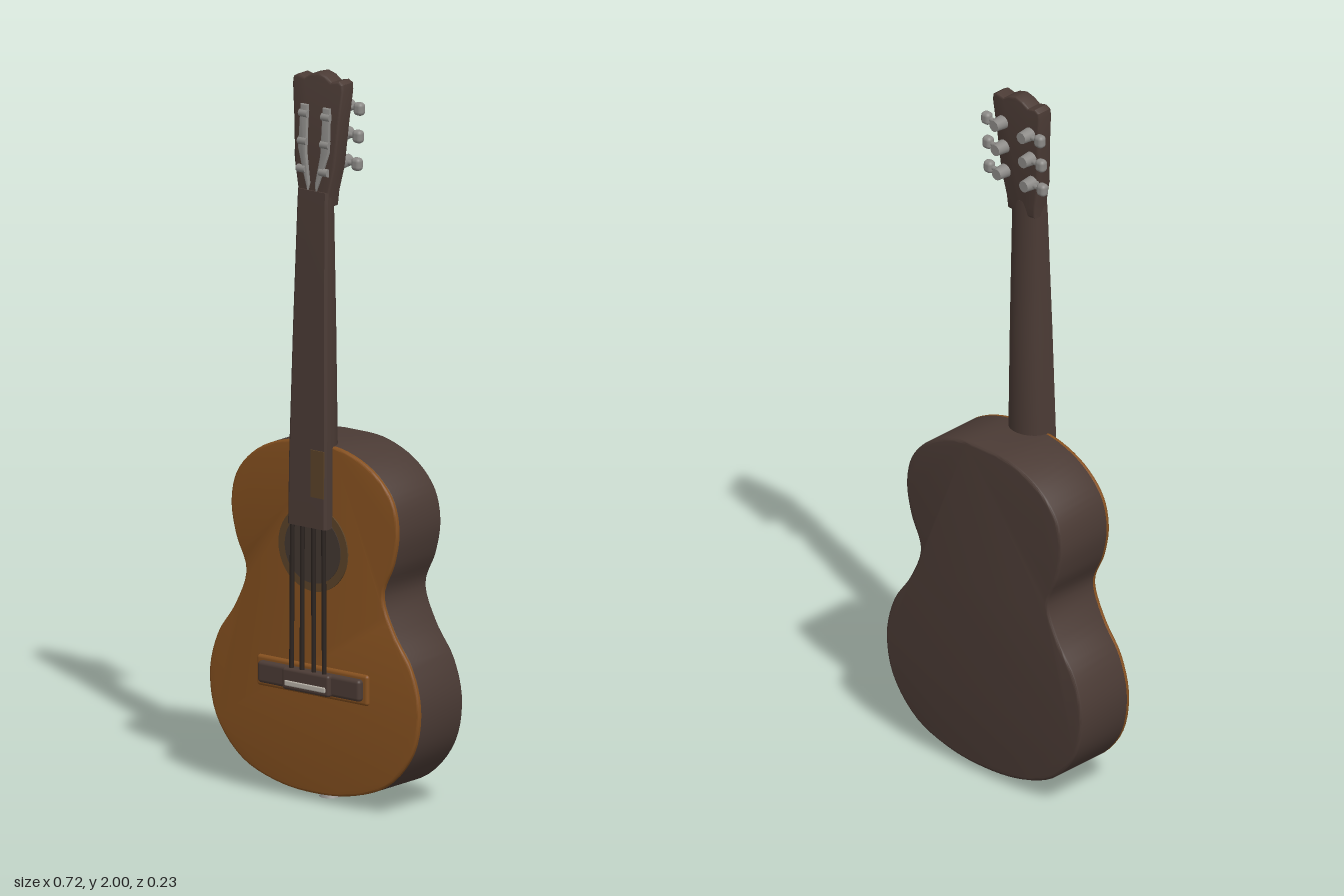
import * as THREE from 'three';
import { toCreasedNormals } from 'three/addons/utils/BufferGeometryUtils.js';
import { RoundedBoxGeometry } from 'three/addons/geometries/RoundedBoxGeometry.js';

const mat = (name, color) => {
  const m = new THREE.MeshStandardMaterial({ color });
  m.name = name;
  return m;
};

export function createModel() {
  const guitar = new THREE.Group();
  guitar.name = 'acousticGuitar';
  const darkWood = mat('dark wood', 0x4b3b35);
  const spruce = mat('amber top wood', 0x85501f);
  const rosette = mat('rosette brown', 0x5b4328);
  const hole = mat('sound hole', 0x433731);
  const stringDark = mat('string', 0x2c2420);
  const metal = mat('metal', 0x8c8a87);
  const ivory = mat('saddle ivory', 0xb8b2a8);

  const add = (name, geo, material, x = 0, y = 0, z = 0, parent = guitar) => {
    const m = new THREE.Mesh(geo, material);
    m.name = name;
    m.position.set(x, y, z);
    parent.add(m);
    return m;
  };
  const smooth = (geo, angle = 0.7) => toCreasedNormals(geo, angle);
  const mirrored = (half) => [...half, ...half.slice(1, -1).reverse().map(([x, y]) => [-x, y])]
    .map(([x, y]) => new THREE.Vector2(x, y));

  // Slab with rounded rims, spanning z0 to z1 without growing the outline
  const slab = (shape, z0, z1, bevel) => {
    const g = new THREE.ExtrudeGeometry(shape, {
      depth: z1 - z0 - 2 * bevel, bevelEnabled: bevel > 0, bevelThickness: bevel,
      bevelSize: bevel, bevelOffset: -bevel, bevelSegments: 3, curveSegments: 8,
    });
    return g.translate(0, 0, z0 + bevel);
  };

  // Body: waisted outline, dark back and sides with an amber top
  const outline = mirrored([
    [0, 0.985], [0.1, 0.978], [0.2, 0.935], [0.265, 0.865], [0.284, 0.78], [0.268, 0.69],
    [0.233, 0.6], [0.27, 0.5], [0.33, 0.41], [0.358, 0.3], [0.335, 0.18], [0.25, 0.08],
    [0.13, 0.033], [0, 0.02],
  ]).map((p) => new THREE.Vector3(p.x, p.y, 0));
  const curve = new THREE.CatmullRomCurve3(outline, true, 'centripetal');
  const bodyShape = new THREE.Shape(curve.getPoints(120).slice(0, -1).map((p) => new THREE.Vector2(p.x, p.y)));
  add('body', smooth(slab(bodyShape, -0.115, 0.07, 0.008)), darkWood);
  add('soundboard', smooth(slab(bodyShape, 0.058, 0.075, 0.006)), spruce);

  // Sound hole and rosette
  const disc = (r, h) => new THREE.CylinderGeometry(r, r, h, 40).rotateX(Math.PI / 2);
  add('rosette', disc(0.118, 0.008), rosette, 0, 0.695, 0.075);
  add('soundHole', disc(0.095, 0.008), hole, 0, 0.695, 0.077);

  // Neck: D-shaped sections of [y, half width, front z, back z]
  const loft = (sections) => {
    const n = 14, pos = [], idx = [];
    for (const [y, w, zf, zb] of sections) {
      for (let i = 0; i <= n; i++) {
        const a = (i / n) * Math.PI;
        const edge = zf - 0.018;
        pos.push(w * Math.cos(a), y, edge - (edge - zb) * Math.sin(a) ** 0.8);
      }
      pos.push(-w, y, zf - 0.006, -w + 0.007, y, zf, w - 0.007, y, zf, w, y, zf - 0.006);
    }
    const c = n + 5;
    for (let s = 0; s < sections.length - 1; s++) {
      for (let i = 0; i < c; i++) {
        const a = s * c + i, b = s * c + (i + 1) % c;
        idx.push(a, b, a + c, b, b + c, a + c);
      }
    }
    const last = (sections.length - 1) * c;
    for (let i = 1; i < c - 1; i++) {
      idx.push(0, i + 1, i, last, last + i, last + i + 1);
    }
    const g = new THREE.BufferGeometry();
    g.setAttribute('position', new THREE.Float32BufferAttribute(pos, 3));
    g.setIndex(idx);
    return smooth(g, 0.6);
  };
  add('neck', loft([
    [0.76, 0.066, 0.108, 0.04], [0.95, 0.065, 0.105, 0.012],
    [1.3, 0.059, 0.096, 0.018], [1.64, 0.052, 0.086, 0.027], [1.68, 0.052, 0.083, 0.028],
  ]), darkWood);
  add('fretboardPatch', new THREE.BoxGeometry(0.045, 0.13, 0.006), rosette, 0.037, 0.91, 0.1045);

  // Headstock leaning gently backwards
  const lean = (y) => (1.64 - y) * 0.065;
  const leanBack = (g) => {
    const p = g.attributes.position;
    for (let i = 0; i < p.count; i++) p.setZ(i, p.getZ(i) + lean(p.getY(i)));
    return g;
  };
  const headShape = new THREE.Shape(mirrored([
    [0, 1.635], [0.05, 1.64], [0.053, 1.68], [0.068, 1.75], [0.077, 1.87], [0.086, 1.96],
    [0.084, 1.978], [0.07, 1.986], [0.045, 1.98], [0.025, 1.993], [0, 2],
  ].reverse()));
  add('headstock', smooth(leanBack(slab(headShape, 0.031, 0.081, 0.006)), 0.6), darkWood);

  // Tuning machines, string windings and buttons on both sides
  for (const side of [1, -1]) {
    const group = new THREE.Group();
    group.name = side > 0 ? 'leftTuners' : 'rightTuners';
    guitar.add(group);
    const pts = [[0.026, 1.91], [0.05, 1.91], [0.052, 1.79], [0.036, 1.74], [0.014, 1.68], [0.01, 1.7], [0.024, 1.78]];
    const winding = new THREE.Shape(pts.map(([x, y]) => new THREE.Vector2(side * x, y)));
    add('windingPlate', smooth(leanBack(slab(winding, 0.075, 0.089, 0.003))), metal, 0, 0, 0, group);
    for (const y of [1.755, 1.83, 1.905]) {
      const z = 0.031 + lean(y);
      add('windingPost', new THREE.CylinderGeometry(0.011, 0.011, 0.028, 12).rotateZ(Math.PI / 2),
        metal, side * 0.038, y - 0.02, z + 0.054, group);
      add('gearHousing', new THREE.CylinderGeometry(0.016, 0.02, 0.04, 16).rotateX(-Math.PI / 2),
        metal, side * 0.05, y, z - 0.016, group);
      add('tunerShaft', new THREE.CylinderGeometry(0.007, 0.007, 0.06, 10).rotateZ(Math.PI / 2),
        metal, side * 0.072, y, z - 0.012, group);
      add('tunerButton', new RoundedBoxGeometry(0.03, 0.036, 0.026, 3, 0.011),
        metal, side * 0.097, y, z - 0.012, group);
    }
  }

  // Bridge with rounded ends, saddle and a slight amber swell beneath
  add('bridgeSwell', new RoundedBoxGeometry(0.38, 0.085, 0.02, 3, 0.009), spruce, 0, 0.333, 0.074);
  add('bridge', new RoundedBoxGeometry(0.35, 0.06, 0.035, 3, 0.01), darkWood, 0, 0.333, 0.083);
  add('bridgeBlock', new RoundedBoxGeometry(0.16, 0.06, 0.03, 3, 0.008), darkWood, 0, 0.333, 0.098);
  add('saddle', new RoundedBoxGeometry(0.14, 0.016, 0.012, 2, 0.004), ivory, 0, 0.322, 0.11);

  // Strings from the bridge to the fretboard end
  for (const x of [-0.056, -0.02, 0.02, 0.056]) {
    const path = new THREE.LineCurve3(new THREE.Vector3(x, 0.35, 0.1), new THREE.Vector3(x * 0.95, 0.775, 0.1));
    add('string', new THREE.TubeGeometry(path, 1, 0.0065, 8), stringDark);
  }

  // Strap pin under the body
  add('endPin', new THREE.CylinderGeometry(0.022, 0.03, 0.014, 20), metal, 0, 0.007, 0.005);
  add('endPinCollar', new THREE.CylinderGeometry(0.035, 0.035, 0.012, 20), darkWood, 0, 0.018, 0.005);

  return guitar;
}
